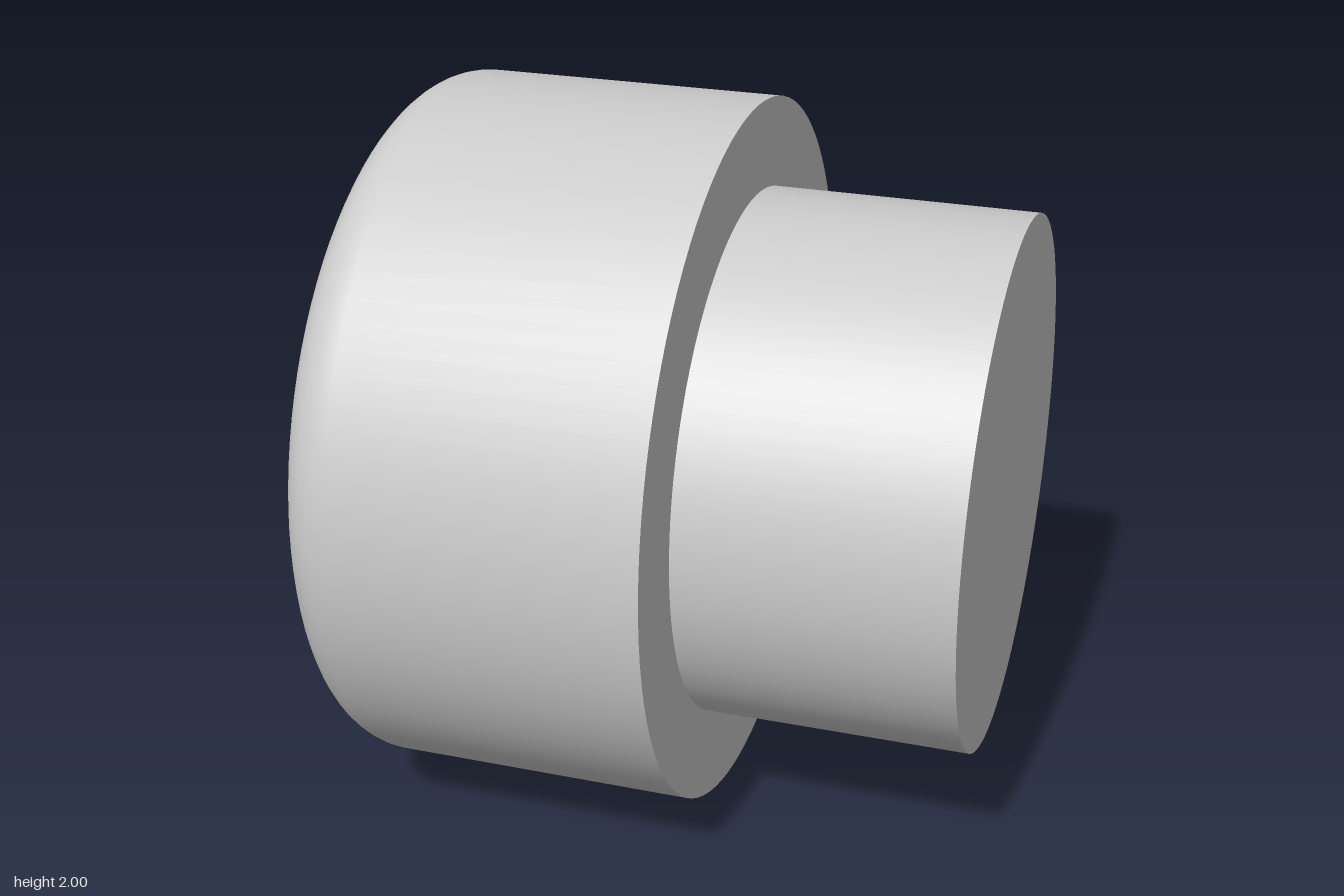
import * as THREE from 'three';
import { toCreasedNormals } from 'three/addons/utils/BufferGeometryUtils.js';

const HEAD_R = 1, SHANK_R = 0.75, FILLET = 0.15;
const END = 0.875, SHOULDER = 0.125;             // distances along the axis
const HEX_R = 0.77, HEX_DEPTH = 0.75, HEX_TURN = THREE.MathUtils.degToRad(10);

export function createModel() {
  const model = new THREE.Group();
  model.name = 'socketHeadScrew';
  const material = new THREE.MeshStandardMaterial({ color: 0xcccccc });

  // Built with the axis along z, then turned so the head points to -x
  const screw = new THREE.Group();
  screw.name = 'screw';
  screw.rotation.y = -Math.PI / 2;
  screw.position.y = 1;
  model.add(screw);

  const add = (name, geometry, mat = material) => {
    const mesh = new THREE.Mesh(geometry, mat);
    mesh.name = name;
    screw.add(mesh);
    return mesh;
  };

  // Shank: closed end and cylinder wall
  const turned = (points) =>
    toCreasedNormals(new THREE.LatheGeometry(points, 96).rotateX(Math.PI / 2), Math.PI / 6);
  const p = (r, y) => new THREE.Vector2(r, y);
  add('shank', turned([p(0, -END), p(SHANK_R, -END), p(SHANK_R, -SHOULDER)]));

  // Head: shoulder, wall and rounded rim
  const head = [p(SHANK_R, -SHOULDER), p(HEAD_R, -SHOULDER)];
  for (let i = 0; i <= 10; i++) {
    const a = (i / 10) * Math.PI / 2;
    head.push(p(HEAD_R - FILLET + FILLET * Math.cos(a), END - FILLET + FILLET * Math.sin(a)));
  }
  add('head', turned(head));

  // Flat head face with a hexagonal opening
  const face = new THREE.Shape().absarc(0, 0, HEAD_R - FILLET, 0, Math.PI * 2, false);
  const hex = [];
  for (let i = 0; i < 6; i++) {
    const a = HEX_TURN + i * Math.PI / 3;
    hex.push(p(HEX_R * Math.cos(a), HEX_R * Math.sin(a)));
  }
  face.holes.push(new THREE.Path(hex));
  add('headFace', new THREE.ShapeGeometry(face, 96)).position.z = END;

  // Hexagonal socket: inner walls and floor
  const wallMaterial = new THREE.MeshStandardMaterial({
    color: 0xcccccc, flatShading: true, side: THREE.DoubleSide,
  });
  const walls = new THREE.CylinderGeometry(HEX_R, HEX_R, HEX_DEPTH, 6, 1, true)
    .rotateX(Math.PI / 2).rotateZ(HEX_TURN - Math.PI / 6);
  add('socketWalls', walls, wallMaterial).position.z = END - HEX_DEPTH / 2;
  add('socketFloor', new THREE.CircleGeometry(HEX_R, 6).rotateZ(HEX_TURN))
    .position.z = END - HEX_DEPTH;

  return model;
}
